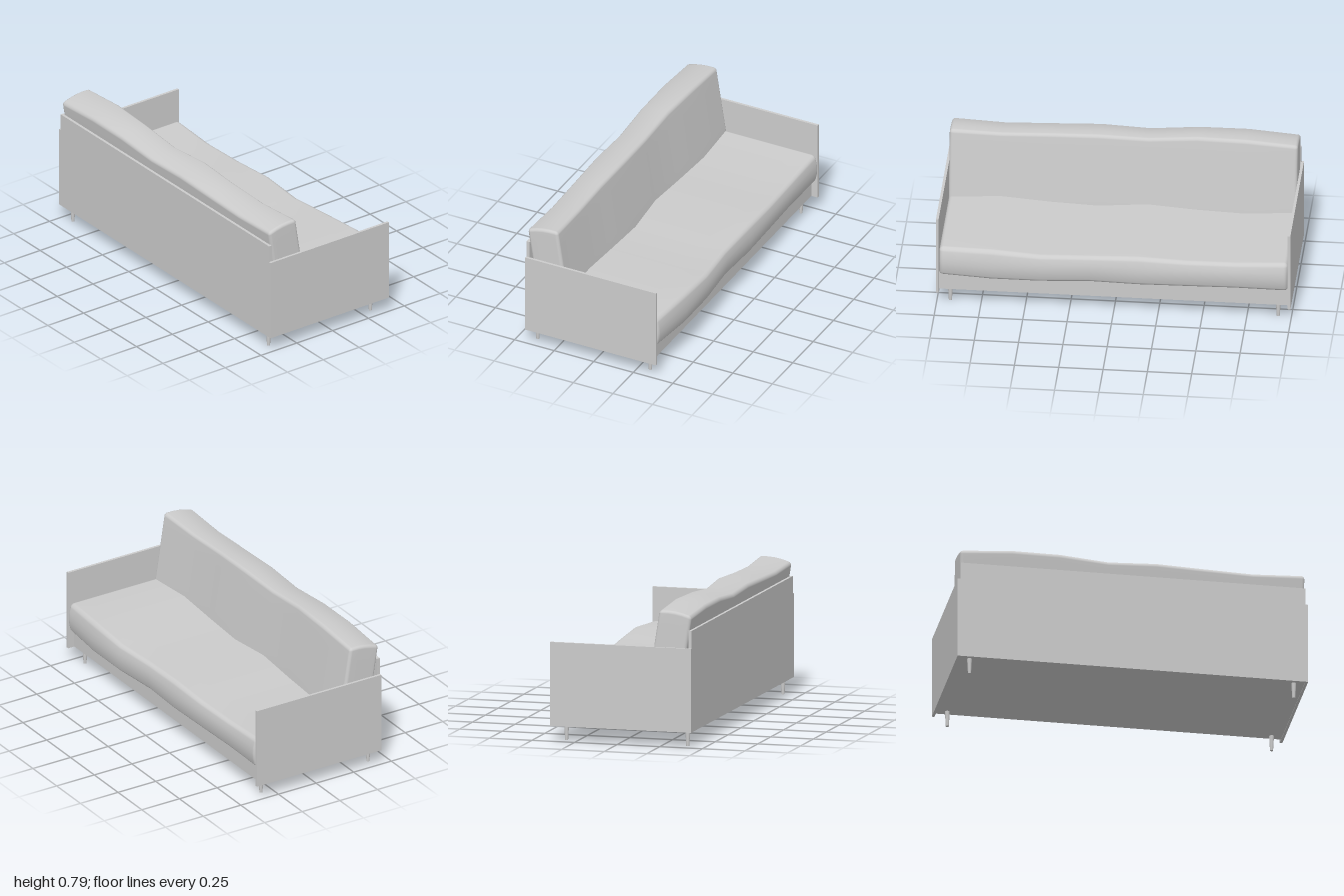
import * as THREE from 'three';
import { mergeVertices } from 'three/addons/utils/BufferGeometryUtils.js';

const material = new THREE.MeshStandardMaterial({ color: 0xcccccc });

// Linear interpolation through offsets spread evenly from z = -half to z = +half
function wave(offsets, z, half) {
  const n = offsets.length - 1;
  const t = THREE.MathUtils.clamp((z / half + 1) / 2, 0, 1) * n;
  const i = Math.min(Math.floor(t), n - 1);
  return THREE.MathUtils.lerp(offsets[i], offsets[i + 1], t - i);
}

// Grid positions along one axis: fine steps in the rounded edges, even steps between
function gridLine(half, r, middle) {
  const inner = half - r;
  const line = [];
  for (let i = 0; i <= middle; i++) line.push(-inner + (2 * inner * i) / middle);
  const edge = [1, 2].map((k) => inner + r * Math.tan((k * Math.PI) / 8));
  return [-edge[1], -edge[0], ...line, ...edge];
}

// Rounded box with a subdivided middle, reshaped by deform(point)
function cushion(name, size, r, middle, deform) {
  const half = size.map((s) => s / 2);
  const lines = half.map((h, i) => gridLine(h, r, middle[i]));
  const seg = lines.map((l) => l.length - 1);
  let geo = new THREE.BoxGeometry(1, 1, 1, ...seg);
  geo.deleteAttribute('normal');
  geo.deleteAttribute('uv');
  geo = mergeVertices(geo);
  const pos = geo.attributes.position;
  const p = new THREE.Vector3();
  const inner = new THREE.Vector3();
  const limit = new THREE.Vector3(...half).subScalar(r);
  for (let i = 0; i < pos.count; i++) {
    p.fromBufferAttribute(pos, i);
    p.fromArray(p.toArray().map((v, a) => lines[a][Math.round((v + 0.5) * seg[a])]));
    inner.copy(p).clamp(limit.clone().negate(), limit);
    p.sub(inner).setLength(r).add(inner);
    deform(p);
    pos.setXYZ(i, p.x, p.y, p.z);
  }
  geo.computeVertexNormals();
  const mesh = new THREE.Mesh(geo, material);
  mesh.name = name;
  return mesh;
}

// Box given by its min and max corners
function board(name, [x0, y0, z0], [x1, y1, z1]) {
  const mesh = new THREE.Mesh(new THREE.BoxGeometry(x1 - x0, y1 - y0, z1 - z0), material);
  mesh.position.set((x0 + x1) / 2, (y0 + y1) / 2, (z0 + z1) / 2);
  mesh.name = name;
  return mesh;
}

export function createModel() {
  const sofa = new THREE.Group();
  sofa.name = 'sofa';

  // Frame: base, back panel and two side panels
  sofa.add(board('base', [-0.415, 0.09, -0.985], [0.355, 0.2, 0.985]));
  sofa.add(board('backPanel', [-0.433, 0.087, -0.985], [-0.413, 0.665, 0.985]));
  sofa.add(board('leftArm', [-0.433, 0.087, 0.985], [0.393, 0.565, 1]));
  sofa.add(board('rightArm', [-0.433, 0.087, -1], [0.393, 0.565, -0.985]));

  // Seat cushion: uneven top, bulging wavy front
  const seatTop = [0.005, -0.012, -0.01, 0.005, -0.01, -0.005, 0.015, 0.005];
  const seatFront = [0, -0.004, 0.004, 0.011, 0.001, 0.025, 0.026, 0];
  const seat = cushion('seatCushion', [0.8, 0.175, 1.965], 0.022, [6, 4, 7], (p) => {
    const v = p.y / 0.0875;
    if (p.x > 0) p.x += (p.x / 0.4) * (wave(seatFront, p.z, 0.96) + 0.018 * (1 - v * v) - 0.012);
    if (p.y > 0) p.y += (p.y / 0.0875) * wave(seatTop, p.z, 0.96);
  });
  seat.position.set(-0.006, 0.2825, 0);
  sofa.add(seat);

  // Back cushion: leaning back, crowned wavy top, wavy front
  const backTop = [-0.003, 0.017, 0.015, -0.008, 0.004, -0.006, -0.015, -0.003];
  const backFront = [0, 0.002, -0.012, -0.018, -0.004, -0.014, -0.012, 0];
  const back = cushion('backCushion', [0.192, 0.44, 1.965], 0.018, [4, 6, 7], (p) => {
    const u = p.x / 0.096;
    if (p.y > 0) p.y += (p.y / 0.22) * (wave(backTop, p.z, 0.96) + 0.012 * (1 - u * u));
    if (p.x > 0) p.x += u * wave(backFront, p.z, 0.96);
  });
  back.rotation.z = 0.155;
  back.position.set(-0.301, 0.543, 0);
  sofa.add(back);

  // Tapered legs
  const legGeo = new THREE.CylinderGeometry(0.014, 0.009, 0.09, 16);
  for (const x of [-0.392, 0.319]) {
    for (const z of [-0.925, 0.925]) {
      const leg = new THREE.Mesh(legGeo, material);
      leg.name = (x > 0 ? 'front' : 'back') + (z > 0 ? 'Left' : 'Right') + 'Leg';
      leg.position.set(x, 0.045, z);
      sofa.add(leg);
    }
  }
  return sofa;
}
